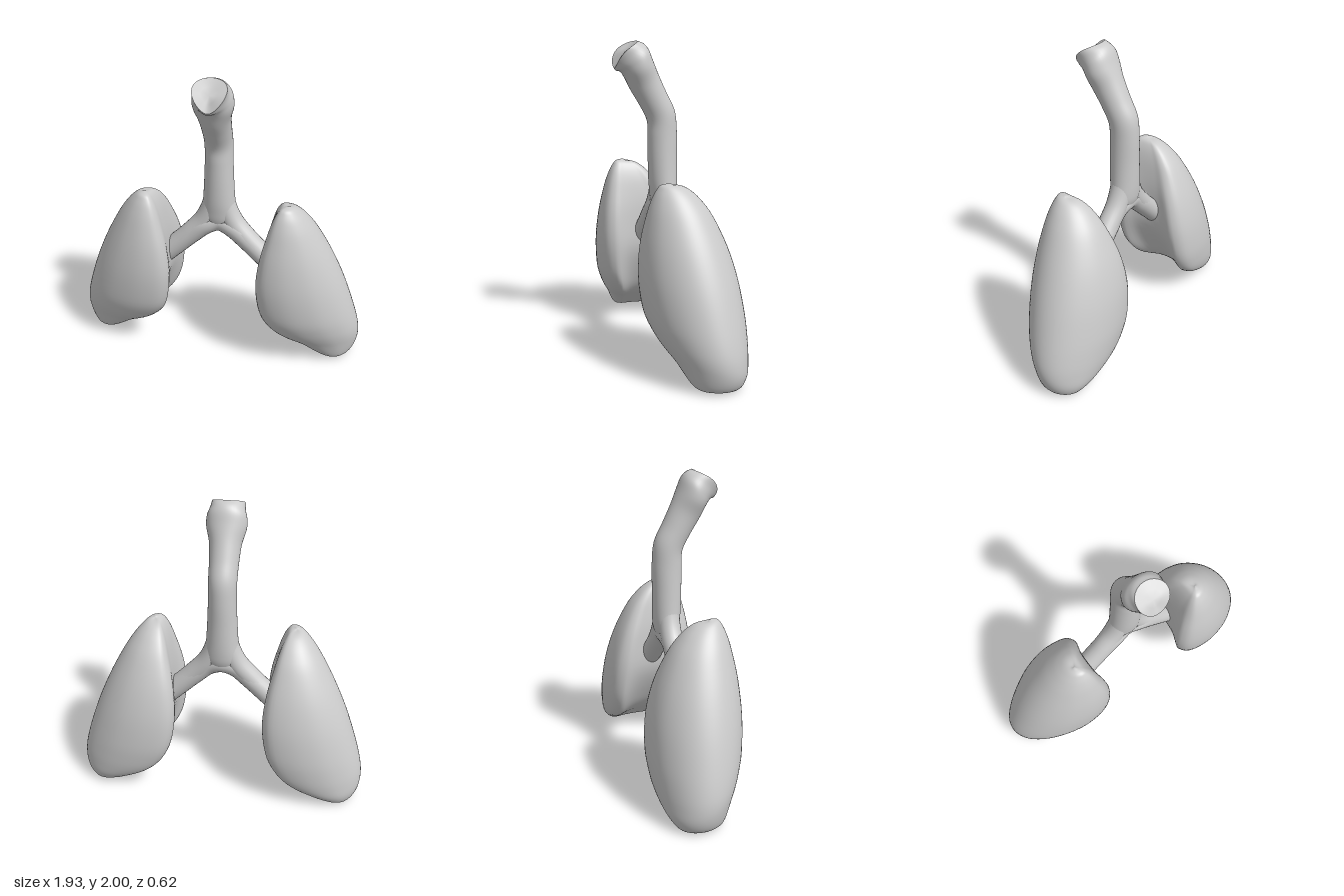
import * as THREE from 'three';

const material = new THREE.MeshStandardMaterial({ color: 0xcccccc });
const V = (x, y, z) => new THREE.Vector3(x, y, z);
const { smoothstep } = THREE.MathUtils;

// Skin a stack of rings (bottom to top, counter-clockwise from above).
function loft(rings, capBottom, capTop) {
  const n = rings[0].length;
  const points = rings.flat();
  const index = [];
  for (let r = 0; r < rings.length - 1; r++) {
    for (let i = 0; i < n; i++) {
      const a = r * n + i, b = r * n + (i + 1) % n;
      index.push(a, b, a + n, b, b + n, a + n);
    }
  }
  const cap = (ring, first, top) => {
    const c = points.length;
    points.push(ring.reduce((s, p) => s.add(p), V(0, 0, 0)).divideScalar(n));
    for (let i = 0; i < n; i++) {
      const a = first + i, b = first + (i + 1) % n;
      index.push(...(top ? [c, a, b] : [c, b, a]));
    }
  };
  if (capBottom) cap(rings[0], 0, false);
  if (capTop) cap(rings[rings.length - 1], (rings.length - 1) * n, true);
  const g = new THREE.BufferGeometry().setFromPoints(points);
  g.setIndex(index);
  g.computeVertexNormals();
  return g;
}

// Smoothly resample rows of numbers with uniform splines.
function smoothRows(rows, count) {
  const curve = (cols) => new THREE.CatmullRomCurve3(
    rows.map((r) => V(...cols.map((c) => r[c]))), false, 'catmullrom', 0.5);
  const a = curve([0, 1, 2]), b = curve([3, 4, 4]);
  return Array.from({ length: count + 1 }, (_, i) => {
    const p = a.getPoint(i / count), q = b.getPoint(i / count);
    return [p.x, p.y, p.z, q.x, q.y];
  });
}

// Horizontal lung section: u from inner to outer side, v from back to front.
const lungSection = new THREE.CatmullRomCurve3([
  [0, 0], [0, 0.38], [0.0, 0.7], [0.1, 0.93], [0.34, 1], [0.62, 0.88],
  [0.82, 0.64], [0.95, 0.33], [1, -0.02], [0.96, -0.38], [0.83, -0.69], [0.62, -0.92],
  [0.36, -1], [0.1, -0.92], [0.0, -0.68], [0, -0.36],
].map(([u, v]) => V(u, 0, v)), true).getPoints(64).slice(0, -1);

// y, inner x, outer x, back z, front z
const lungRows = [
  [0.0, 0.79, 0.88, -0.17, 0.05],
  [0.02, 0.73, 0.925, -0.215, 0.09],
  [0.08, 0.61, 0.957, -0.26, 0.14],
  [0.16, 0.465, 0.965, -0.288, 0.195],
  [0.26, 0.375, 0.952, -0.303, 0.24],
  [0.40, 0.315, 0.915, -0.307, 0.28],
  [0.60, 0.29, 0.845, -0.285, 0.297],
  [0.80, 0.308, 0.757, -0.23, 0.282],
  [0.98, 0.352, 0.66, -0.147, 0.245],
  [1.08, 0.382, 0.592, -0.075, 0.213],
  [1.135, 0.407, 0.543, -0.015, 0.185],
  [1.162, 0.43, 0.508, 0.035, 0.16],
  [1.171, 0.462, 0.477, 0.092, 0.108],
];

// The inner face is hollowed, most in its lower half; the base slopes to the back.
function makeLung(side) {
  const rings = smoothRows(lungRows, 48).map(([y, xi, xo, zb, zf]) => {
    const hollow = 0.14 - 0.08 * smoothstep(y, 0.3, 0.6) - 0.06 * smoothstep(y, 0.7, 1.1)
      - 0.1 * (1 - smoothstep(y, 0, 0.2));
    const slope = 0.006 + 0.02 * smoothstep(y, 0, 0.12) * (1 - smoothstep(y, 0.1, 0.4));
    const ring = lungSection.map((p) => {
      const dent = hollow * Math.max(0, 1 - (p.z / 0.7) ** 2) * (1 - p.x);
      const u = p.x + (p.x < 0.1 ? dent : 0);
      return V(side * (xi + (xo - xi) * u), y + slope * (1 + p.z),
        (zb + zf) / 2 + p.z * (zf - zb) / 2);
    });
    return side > 0 ? ring : ring.reverse();
  });
  return loft(rings, true, true);
}

// back y, back z, front y, front z, half width
const windpipeRows = [
  [0.92, -0.072, 0.92, 0.042, 0.09],
  [0.98, -0.094, 0.98, 0.062, 0.112],
  [1.04, -0.102, 1.04, 0.071, 0.112],
  [1.12, -0.105, 1.12, 0.079, 0.104],
  [1.25, -0.105, 1.25, 0.083, 0.096],
  [1.42, -0.105, 1.40, 0.085, 0.09],
  [1.56, -0.09, 1.50, 0.09, 0.09],
  [1.68, -0.032, 1.60, 0.14, 0.093],
  [1.79, 0.02, 1.69, 0.195, 0.102],
  [1.88, 0.06, 1.77, 0.235, 0.126],
  [1.95, 0.09, 1.81, 0.265, 0.128],
  [1.985, 0.12, 1.82, 0.295, 0.114],
  [2.0, 0.16, 1.835, 0.307, 0.11],
];

// Towards the mouth the rings turn triangular and their sides swing forward.
function windpipeRings() {
  const rows = smoothRows(windpipeRows, 60);
  return rows.map(([by, bz, fy, fz, w], r) => {
    const k = 0.32 * smoothstep(r / 60, 0.72, 1);
    const swing = 0.035 * smoothstep(r / 60, 0.82, 1);
    return Array.from({ length: 40 }, (_, i) => {
      const t = (i / 40) * Math.PI * 2, s = Math.sin(t), c = Math.cos(t), f = (1 + s) / 2;
      const x = -c * w * (1 - k * s) / (1 + 0.3 * k);
      return V(x, by + (fy - by) * f + swing * 0.45 * c * c, bz + (fz - bz) * f + swing * c * c);
    });
  });
}

export function createModel() {
  const group = new THREE.Group();
  const add = (name, geometry) => {
    const mesh = new THREE.Mesh(geometry, material);
    mesh.name = name;
    group.add(mesh);
  };
  const tube = (points, radius) => new THREE.TubeGeometry(
    new THREE.CatmullRomCurve3(points.map((p) => V(...p))), 48, radius, 24);

  add('leftLung', makeLung(1));
  add('rightLung', makeLung(-1));

  // Windpipe with a crisp-edged closed mouth
  const rings = windpipeRings();
  add('windpipe', loft(rings, true, false));
  const rim = rings[rings.length - 1];
  const middle = rim.reduce((s, p) => s.add(p), V(0, 0, 0)).divideScalar(rim.length);
  add('windpipeMouth', loft([rim, rim.map((p) => p.clone().lerp(middle, 0.5))], false, true));

  // Both bronchi as one arch under the windpipe
  const bronchus = (side) => [[0.09, 0.92], [0.19, 0.835], [0.3, 0.73], [0.4, 0.635]]
    .map(([x, y]) => [side * x, y, -0.004]);
  add('bronchi', tube([...bronchus(-1).reverse(), [0, 0.952, -0.015], ...bronchus(1)], 0.071));

  // Shoulders that ease the windpipe into each bronchus
  for (const side of [1, -1]) {
    add(side > 0 ? 'leftShoulder' : 'rightShoulder', tube([
      [side * 0.015, 1.22, -0.012], [side * 0.04, 1.08, -0.012], [side * 0.095, 0.955, -0.01],
      [side * 0.19, 0.842, -0.004], [side * 0.3, 0.73, -0.004],
    ], 0.07));
  }

  return group;
}
